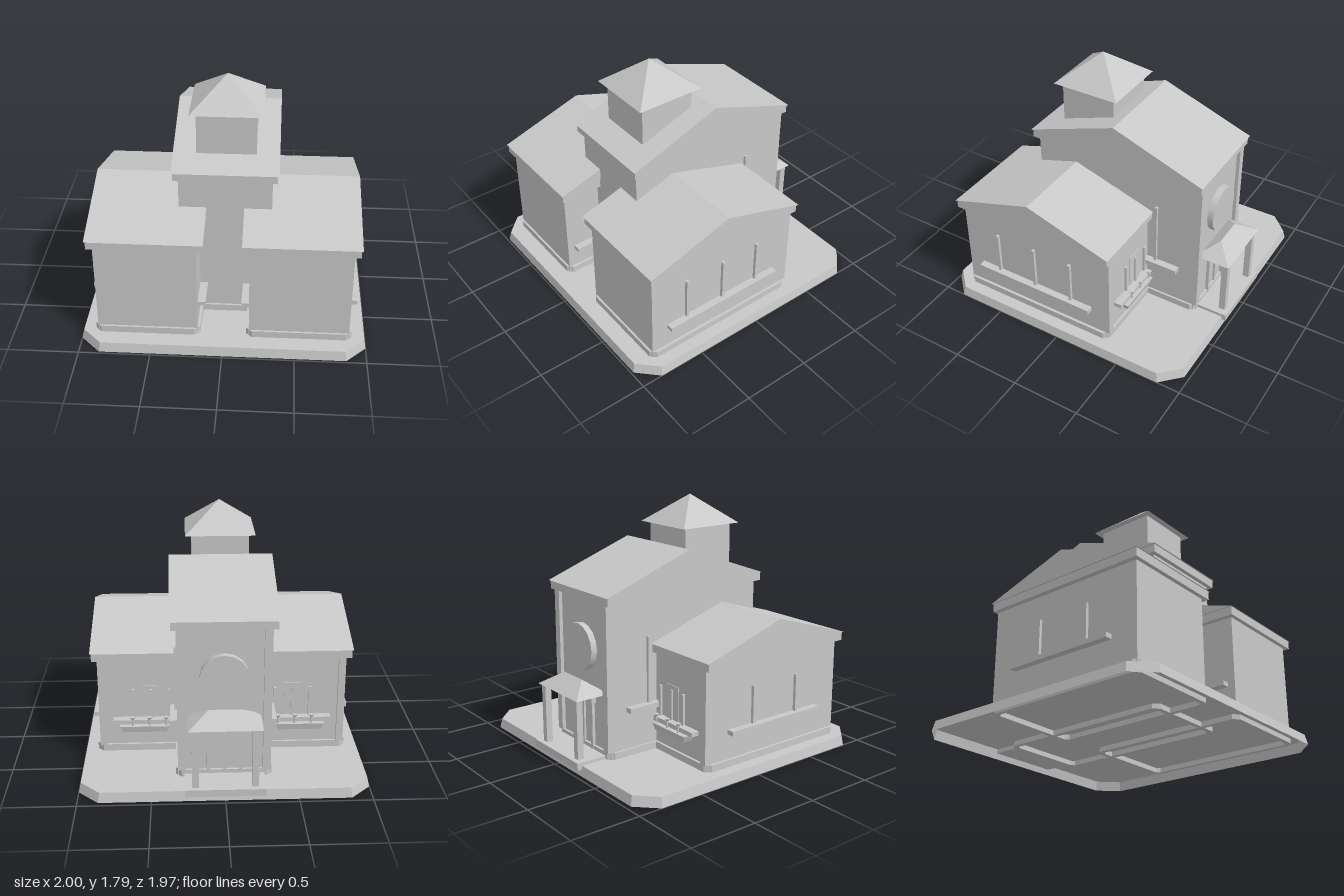
import * as THREE from 'three';
import { ConvexGeometry } from 'three/addons/geometries/ConvexGeometry.js';

const stone = new THREE.MeshStandardMaterial({ color: 0xc8c8c8, side: THREE.DoubleSide });
stone.name = 'pale stone';

export function createModel() {
  const model = new THREE.Group();
  const add = (name, geometry, parent = model) => {
    const mesh = new THREE.Mesh(geometry, stone);
    mesh.name = name;
    parent.add(mesh);
    return mesh;
  };
  // box given by its limits on each axis
  const box = (name, x0, x1, y0, y1, z0, z1, parent) => add(name,
    new THREE.BoxGeometry(Math.abs(x1 - x0), y1 - y0, z1 - z0)
      .translate((x0 + x1) / 2, (y0 + y1) / 2, (z0 + z1) / 2), parent);
  const hull = (name, points, parent) =>
    add(name, new ConvexGeometry(points.map(p => new THREE.Vector3(...p))), parent);
  // solid gable roof with its ridge along x
  const gable = (name, x0, x1, y0, y1, z0, z1, parent) => hull(name,
    [x0, x1].flatMap(x => [[x, y0, z0], [x, y0, z1], [x, y1, (z0 + z1) / 2]]), parent);
  // rectangle with cut corners, as [x, z] pairs
  const octagon = (x0, x1, z0, z1, c) => [
    [x0 + c, z1], [x1 - c, z1], [x1, z1 - c], [x1, z0 + c],
    [x1 - c, z0], [x0 + c, z0], [x0, z0 + c], [x0, z1 - c]];
  const toShape = pts => new THREE.Shape(pts.map(([x, z]) => new THREE.Vector2(x, -z)));
  // hollow plinth band around a wall
  const plinth = (x0, x1, z0, z1, parent) => {
    const t = 0.035;
    const shape = toShape(octagon(x0, x1, z0, z1, 0.04));
    shape.holes.push(toShape(octagon(x0 + t, x1 - t, z0 + t, z1 - t, 0.025)));
    add('plinth', new THREE.ExtrudeGeometry(shape, { depth: 0.085, bevelEnabled: false })
      .rotateX(-Math.PI / 2).translate(0, 0.035, 0), parent);
  };

  // ground slab: tapered rim, open below
  const low = octagon(-1, 1, -0.965, 0.985, 0.14);
  const high = octagon(-0.985, 0.985, -0.95, 0.97, 0.135);
  const rim = [];
  low.forEach((a, i) => {
    const j = (i + 1) % 8, b = low[j], c = high[j], d = high[i];
    const A = [a[0], 0, a[1]], B = [b[0], 0, b[1]], C = [c[0], 0.07, c[1]], D = [d[0], 0.07, d[1]];
    rim.push(...A, ...B, ...C, ...A, ...C, ...D);
  });
  const rimGeometry = new THREE.BufferGeometry();
  rimGeometry.setAttribute('position', new THREE.Float32BufferAttribute(rim, 3));
  rimGeometry.computeVertexNormals();
  add('slabRim', rimGeometry);
  add('slabTop', new THREE.ShapeGeometry(toShape(high)).rotateX(-Math.PI / 2).translate(0, 0.07, 0));

  // central hall
  const hall = new THREE.Group();
  hall.name = 'hall';
  model.add(hall);
  box('hallWalls', -0.32, 0.32, 0.07, 1.17, -0.74, 0.55, hall);
  plinth(-0.335, 0.335, -0.758, 0.565, hall);
  box('hallEaveBand', -0.355, 0.355, 1.16, 1.22, -0.775, 0.58, hall);
  gable('hallRoof', -0.365, 0.365, 1.22, 1.467, -0.785, 0.59, hall);
  for (const s of [-1, 1]) {
    box('hallPilaster', s * 0.265, s * 0.32, 0.12, 1.16, -0.766, -0.7, hall);
    box('hallWindowBar', s * 0.31, s * 0.34, 0.425, 0.9, -0.435, -0.415, hall);
    box('hallSill', s * 0.31, s * 0.373, 0.39, 0.425, -0.61, -0.24, hall);
  }
  // round panel on the back wall
  add('roundPanel', new THREE.CylinderGeometry(0.168, 0.168, 0.05, 16)
    .rotateX(Math.PI / 2).translate(0, 0.815, -0.76), hall);

  // roof turret
  box('turretWalls', -0.205, 0.205, 1.2, 1.59, -0.005, 0.408);
  hull('turretRoof', [[0, 1.79, 0.2], ...[-0.25, 0.25].flatMap(x =>
    [[x, 1.585, -0.053], [x, 1.585, 0.453]])]);

  // side wings, mirrored about x = 0
  for (const s of [-1, 1]) {
    const wing = new THREE.Group();
    wing.name = s > 0 ? 'leftWing' : 'rightWing';
    model.add(wing);
    const X = (a, b) => [Math.min(s * a, s * b), Math.max(s * a, s * b)];
    box('wingWalls', ...X(0.18, 0.88), 0.07, 0.79, -0.352, 0.835, wing);
    plinth(...X(0.16, 0.9), -0.37, 0.85, wing);
    box('wingEaveBand', ...X(0.14, 0.918), 0.78, 0.84, -0.385, 0.865, wing);
    gable('wingRoof', ...X(0.13, 0.928), 0.84, 1.04, -0.395, 0.873, wing);
    box('wingPilaster', ...X(0.83, 0.88), 0.12, 0.78, -0.375, -0.33, wing);
    box('innerSill', ...X(0.125, 0.19), 0.275, 0.307, 0.5, 0.78, wing);

    // outer end: three bars on one wing, two on the other
    const end = s > 0
      ? { bars: [-0.06, 0.24, 0.55], y: 0.278, top: 0.628, z0: -0.23, z1: 0.71 }
      : { bars: [0.04, 0.44], y: 0.298, top: 0.6, z0: -0.18, z1: 0.64 };
    box('endSill', ...X(0.87, 0.932), end.y, end.y + 0.033, end.z0, end.z1, wing);
    for (const z of end.bars)
      box('endWindowBar', ...X(0.87, 0.902), end.y + 0.03, end.top, z - 0.01, z + 0.01, wing);

    // back window with sill, flower trough and blossoms
    box('backWindowPanel', ...X(0.44, 0.57), 0.33, 0.58, -0.358, -0.35, wing);
    for (const x of [0.38, 0.505, 0.63])
      box('backWindowBar', ...X(x - 0.01, x + 0.01), 0.33, 0.55, -0.37, -0.35, wing);
    box('backSill', ...X(0.36, 0.78), 0.3, 0.332, -0.41, -0.34, wing);
    hull('trough', [X(0.38, 0.73), X(0.4, 0.71)].flatMap((r, i) => r.flatMap(x =>
      [[x, i ? 0.245 : 0.292, -0.34], [x, i ? 0.245 : 0.292, i ? -0.425 : -0.435]])), wing);
    for (const x of [0.4, 0.52, 0.64]) {
      add('flowerStem', new THREE.CylinderGeometry(0.008, 0.008, 0.06, 6)
        .translate(s * x, 0.315, -0.413), wing);
      add('blossom', new THREE.CylinderGeometry(0.02, 0.012, 0.015, 6)
        .translate(s * x, 0.35, -0.413), wing);
    }
  }

  // back porch
  const porch = new THREE.Group();
  porch.name = 'porch';
  model.add(porch);
  box('porchStep', -0.275, 0.275, 0.042, 0.093, -0.985, -0.75, porch);
  hull('porchRoof', [
    ...[-0.25, 0.25].flatMap(x => [[x, 0.52, -0.965], [x, 0.52, -0.7]]),
    [-0.11, 0.615, -0.832], [0.11, 0.615, -0.832]], porch);
  for (const s of [-1, 1]) {
    box('porchPost', s * 0.18, s * 0.225, 0.09, 0.525, -0.95, -0.903, porch);
    box('doorJamb', s * 0.1, s * 0.125, 0.09, 0.44, -0.762, -0.73, porch);
  }
  box('doorHeader', -0.14, 0.14, 0.435, 0.47, -0.775, -0.73, porch);
  box('doorMeetingBar', -0.01, 0.01, 0.09, 0.44, -0.755, -0.73, porch);
  return model;
}
